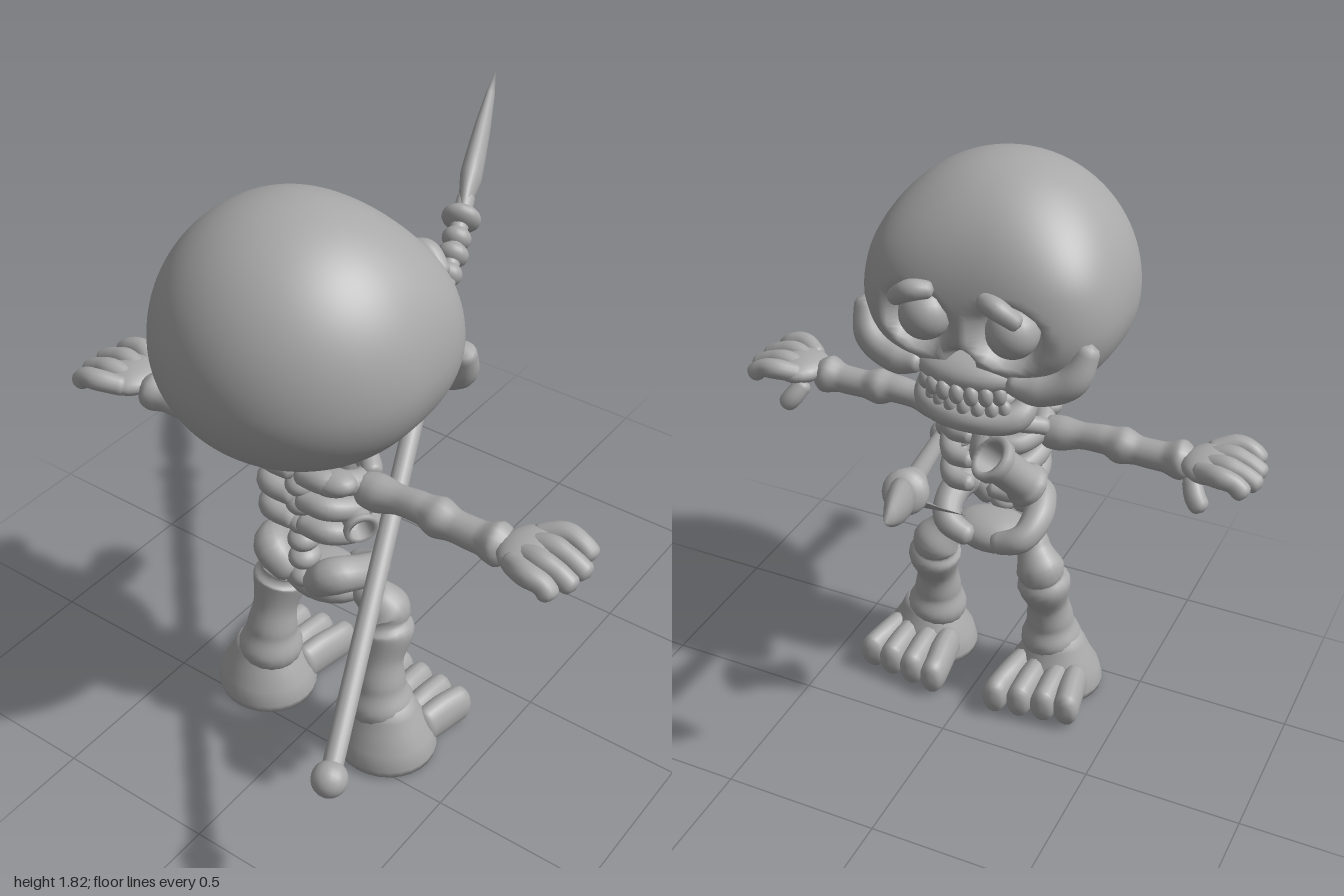
import * as THREE from 'three';
import { mergeVertices } from 'three/addons/utils/BufferGeometryUtils.js';

const bone = new THREE.MeshStandardMaterial({ color: 0xa8a8a8, side: THREE.DoubleSide });
bone.name = 'grey bone';

// Weld a geometry so its normals are smooth everywhere
function smooth(g) {
  g.deleteAttribute('uv');
  g.deleteAttribute('normal');
  const m = mergeVertices(g, 1e-5);
  m.computeVertexNormals();
  return m;
}

function add(parent, name, geometry, pos = [0, 0, 0]) {
  const m = new THREE.Mesh(geometry, bone);
  m.name = name;
  m.position.set(...pos);
  parent.add(m);
  return m;
}

function ball(parent, name, pos, r, rotZ = 0) {
  const m = add(parent, name, new THREE.SphereGeometry(1, 20, 14), pos);
  m.scale.set(...r);
  m.rotation.z = rotZ;
  return m;
}

// Round limb through points [x, y, z, radius], with domed ends
function limb(parent, name, pts, sides = 14) {
  const curve = new THREE.CatmullRomCurve3(pts.map(p => new THREE.Vector3(p[0], p[1], p[2])));
  const n = pts.length * 7;
  const g = new THREE.TubeGeometry(curve, n, 1, sides);
  const pos = g.attributes.position, v = new THREE.Vector3(), len = curve.getLength();
  for (let i = 0; i <= n; i++) {
    const u = i / n, t = curve.getUtoTmapping(u) * (pts.length - 1);
    const k = Math.min(Math.floor(t), pts.length - 2);
    let r = THREE.MathUtils.lerp(pts[k][3], pts[k + 1][3], THREE.MathUtils.smoothstep(t - k, 0, 1));
    const d = Math.min(u, 1 - u) * len;
    if (d < r * 0.8) r *= Math.sqrt(Math.max(0, 1 - (1 - d / (r * 0.8)) ** 2));
    const c = curve.getPointAt(u);
    for (let j = 0; j <= sides; j++) {
      const q = i * (sides + 1) + j;
      v.fromBufferAttribute(pos, q).sub(c).multiplyScalar(r).add(c);
      pos.setXYZ(q, v.x, v.y, v.z);
    }
  }
  return add(parent, name, smooth(g));
}

function lathe(parent, name, profile, sides = 24, pos) {
  return add(parent, name, smooth(new THREE.LatheGeometry(profile.map(p => new THREE.Vector2(...p)), sides)), pos);
}

// Cranium: rounded ball with a flatter face, sunken eye sockets and nose
function buildSkull(head) {
  const g = smooth(new THREE.SphereGeometry(1, 96, 72));
  const pos = g.attributes.position, S = THREE.MathUtils.smoothstep;
  for (let i = 0; i < pos.count; i++) {
    let x = pos.getX(i), y = pos.getY(i), z = pos.getZ(i);
    if (z < 0) {
      const p = 3.1 - S(y, 0.3, 0.95), h = Math.hypot(x, z);
      const k = h / Math.max(1e-6, (Math.abs(x) ** p + Math.abs(z) ** p) ** (1 / p));
      x *= k; z *= k;
    }
    const X = x * 0.4, Y = 1.42 + y * (y > 0 ? 0.398 : 0.325);
    let Z = 0.45 + z * (z < 0 ? 0.355 : 0.39);
    if (z < 0) {
      const eye = Math.hypot((Math.abs(X) - 0.14) / 0.11, (Y - 1.41) / 0.105);
      Z += 0.1 * (1 - S(eye, 0.6, 1.08));
      const nose = Math.hypot(X / (0.035 + Math.max(0, 1.34 - Y) * 0.3), (Y - 1.31) / 0.045);
      Z += 0.06 * (1 - S(nose, 0.5, 1.1));
    }
    pos.setXYZ(i, X, Y, Z);
  }
  g.computeVertexNormals();
  add(head, 'cranium', g);
}

function buildHead(root) {
  const head = new THREE.Group();
  head.name = 'head';
  root.add(head);
  buildSkull(head);
  ball(head, 'upperJaw', [0, 1.255, 0.2], [0.18, 0.065, 0.115]);
  // Lower jaw hangs open below the skull
  limb(head, 'lowerJaw', [[-0.17, 1.17, 0.28, 0.03], [-0.14, 1.11, 0.2, 0.045], [0, 1.1, 0.15, 0.04],
    [0.14, 1.11, 0.2, 0.045], [0.17, 1.17, 0.28, 0.03]]);
  for (let i = -3; i <= 3; i++) {
    const a = i * 0.3, x = Math.sin(a) * 0.15, c = Math.cos(a);
    ball(head, 'upperTooth', [x, 1.215, 0.2 - 0.11 * c], [0.023, 0.032, 0.02]);
    ball(head, 'lowerTooth', [x, 1.145, 0.23 - 0.09 * c], [0.021, 0.03, 0.02]);
  }
  for (const s of [1, -1]) {
    ball(head, 'eye', [s * 0.138, 1.41, 0.172], [0.08, 0.08, 0.08]);
    limb(head, 'eyebrow', [[s * 0.07, 1.535, 0.09, 0.025], [s * 0.13, 1.535, 0.06, 0.032], [s * 0.2, 1.485, 0.08, 0.026]]);
    limb(head, 'cheekbone', [[s * 0.36, 1.4, 0.22, 0.035], [s * 0.32, 1.29, 0.18, 0.05], [s * 0.23, 1.25, 0.16, 0.05], [s * 0.13, 1.26, 0.14, 0.03]]);
  }
}

function buildTorso(root) {
  const torso = new THREE.Group();
  torso.name = 'torso';
  root.add(torso);
  for (let i = 0; i < 9; i++)
    ball(torso, 'vertebra', [0, 0.62 + i * 0.066, 0.47 - Math.max(0, i - 5) * 0.02], [0.046, 0.036, 0.05]);
  limb(torso, 'sternum', [[0, 1.0, 0.29, 0.03], [0, 0.92, 0.27, 0.035], [0, 0.85, 0.28, 0.025]]);
  ball(torso, 'pelvisBowl', [0, 0.555, 0.38], [0.14, 0.065, 0.1]);
  for (const s of [1, -1]) {
    // Three ribs a side sweep down from spine to breastbone
    [1.0, 0.91, 0.825].forEach((y, i) => limb(torso, 'rib', [[0, y, 0.49, 0.032],
      [s * 0.1, y + 0.005, 0.485, 0.036], [s * (0.15 - i * 0.004), y - 0.02, 0.4, 0.036],
      [s * 0.11, y - 0.045, 0.3, 0.034], [s * 0.02, y - 0.04, 0.27, 0.026]]));
    ball(torso, 'shoulderBlade', [s * 0.11, 1.0, 0.47], [0.075, 0.038, 0.05], s * 0.2);
    limb(torso, 'collarbone', [[s * 0.02, 1.0, 0.3, 0.025], [s * 0.1, 1.02, 0.31, 0.028], [s * 0.18, 0.99, 0.38, 0.03]]);
    limb(torso, 'hipWing', [[s * 0.03, 0.6, 0.48, 0.045], [s * 0.11, 0.67, 0.48, 0.055],
      [s * 0.15, 0.65, 0.4, 0.05], [s * 0.13, 0.6, 0.31, 0.045], [s * 0.03, 0.56, 0.29, 0.035]]);
  }
}

function buildArm(root, s) {
  const arm = new THREE.Group();
  arm.name = s > 0 ? 'leftArm' : 'rightArm';
  root.add(arm);
  limb(arm, 'armBone', [[0.14, 0.96, 0.4, 0.05], [0.21, 0.965, 0.4, 0.055], [0.29, 0.975, 0.4, 0.042], [0.36, 0.98, 0.4, 0.045],
    [0.41, 0.975, 0.4, 0.058], [0.47, 0.97, 0.4, 0.045], [0.54, 0.97, 0.4, 0.046], [0.6, 0.975, 0.4, 0.062], [0.65, 0.985, 0.4, 0.045]]
    .map(p => [p[0] * s, p[1], p[2], p[3]]));
  ball(arm, 'palm', [s * 0.69, 0.99, 0.39], [0.085, 0.042, 0.1]);
  // Four fingers and a drooping thumb
  [[0.3, 0.83], [0.365, 0.855], [0.43, 0.85], [0.495, 0.82]].forEach(([z, tip]) => limb(arm, 'finger',
    [[s * 0.66, 0.99, 0.39 + (z - 0.39) * 0.6, 0.03], [s * 0.74, 1.01, z, 0.033], [s * 0.79, 1.0, z, 0.03], [s * tip, 0.965, z, 0.031]]));
  limb(arm, 'thumb', [[s * 0.65, 0.97, 0.34, 0.03], [s * 0.68, 0.92, 0.3, 0.032], [s * 0.71, 0.885, 0.29, 0.03]]);
}

function buildLeg(root, s) {
  const leg = new THREE.Group();
  leg.name = s > 0 ? 'leftLeg' : 'rightLeg';
  root.add(leg);
  limb(leg, 'legBone', [[0.12, 0.6, 0.38, 0.05], [0.15, 0.545, 0.36, 0.055], [0.185, 0.48, 0.34, 0.078], [0.19, 0.455, 0.345, 0.07],
    [0.195, 0.425, 0.35, 0.087], [0.2, 0.33, 0.38, 0.068], [0.205, 0.25, 0.395, 0.078], [0.21, 0.18, 0.4, 0.1], [0.22, 0.1, 0.4, 0.1]]
    .map(p => [p[0] * s, p[1], p[2], p[3]]), 18);
  lathe(leg, 'heel', [[0, 0], [0.13, 0], [0.154, 0.006], [0.159, 0.03], [0.145, 0.08], [0.115, 0.13], [0.098, 0.17], [0.08, 0.2], [0, 0.2]], 28, [s * 0.23, 0, 0.4])
    .scale.z = 0.93;
  // Toes fan outwards
  [[0.14, 0.115], [0.2, 0.195], [0.27, 0.275], [0.32, 0.352]].forEach(([a, b], i) => limb(leg, 'toe',
    [[s * a, 0.048, 0.36, 0.043], [s * (a + b) / 2, 0.047, 0.26, 0.045], [s * b, 0.043, 0.18, 0.043], [s * b, 0.038, 0.12 + i * 0.012, 0.038]])
    .scale.y = 1.5);
}

function buildSpear(root) {
  const spear = new THREE.Group();
  spear.name = 'spear';
  root.add(spear);
  const base = new THREE.Vector3(0.45, 0.48, 0.95), tip = new THREE.Vector3(-0.335, 1.545, -1);
  const L = base.distanceTo(tip), dir = tip.clone().sub(base).normalize();
  const side = new THREE.Vector3().crossVectors(dir, new THREE.Vector3(0, 1, 0)).normalize();
  spear.quaternion.setFromRotationMatrix(new THREE.Matrix4().makeBasis(side, dir, side.clone().cross(dir)));
  spear.position.copy(base);
  ball(spear, 'endKnob', [0, 0, 0], [0.05, 0.05, 0.05]);
  lathe(spear, 'shaft', [[0, 0], [0.029, 0], [0.029, 1.85], [0, 1.85]], 16);
  [[1.57, 0.044], [1.64, 0.05], [1.7, 0.046], [1.775, 0.062]].forEach(([y, r]) => ball(spear, 'binding', [0, y, 0], [r, 0.036, r]));
  lathe(spear, 'blade', [[0, 1.78], [0.026, 1.79], [0.034, 1.84], [0.056, 1.93], [0.052, 2.0], [0.042, 2.12], [0.024, 2.25], [0, L]], 16)
    .scale.x = 0.62;
  // Hanging cloth strip
  const rows = [[-0.11, 1.21, -0.44, -0.11, 1.19, -0.4], [-0.17, 1.14, -0.36, -0.09, 1.11, -0.34], [-0.2, 1.07, -0.27, -0.07, 1.06, -0.25]];
  const cloth = new THREE.BufferGeometry();
  cloth.setAttribute('position', new THREE.Float32BufferAttribute(rows.flat(), 3));
  cloth.setIndex([0, 1, 2, 1, 3, 2, 2, 3, 4, 3, 5, 4]);
  cloth.computeVertexNormals();
  add(root, 'cloth', cloth);
}

// Hollow rimmed tube standing along a direction
function buildTube(root, name, from, to, r) {
  const a = new THREE.Vector3(...from), d = new THREE.Vector3(...to).sub(a), h = d.length();
  const m = lathe(root, name, [[0, 0], [r * 0.9, 0], [r * 1.08, h * 0.06], [r * 1.05, h * 0.17], [r * 0.88, h * 0.24], [r * 0.88, h * 0.74],
    [r * 1.1, h * 0.82], [r * 1.12, h * 0.95], [r, h], [r * 0.75, h * 0.97], [r * 0.7, h * 0.2], [0, h * 0.2]], 22, from);
  m.quaternion.setFromUnitVectors(new THREE.Vector3(0, 1, 0), d.normalize());
}

export function createModel() {
  const root = new THREE.Group();
  root.name = 'skeleton';
  buildHead(root);
  buildTorso(root);
  for (const s of [1, -1]) {
    buildArm(root, s);
    buildLeg(root, s);
  }
  buildSpear(root);
  buildTube(root, 'cup', [-0.235, 0.94, 0.115], [-0.14, 1.085, 0.01], 0.064);
  buildTube(root, 'horn', [0.11, 0.88, 0.4], [0.2, 0.865, 0.46], 0.045);
  return root;
}
